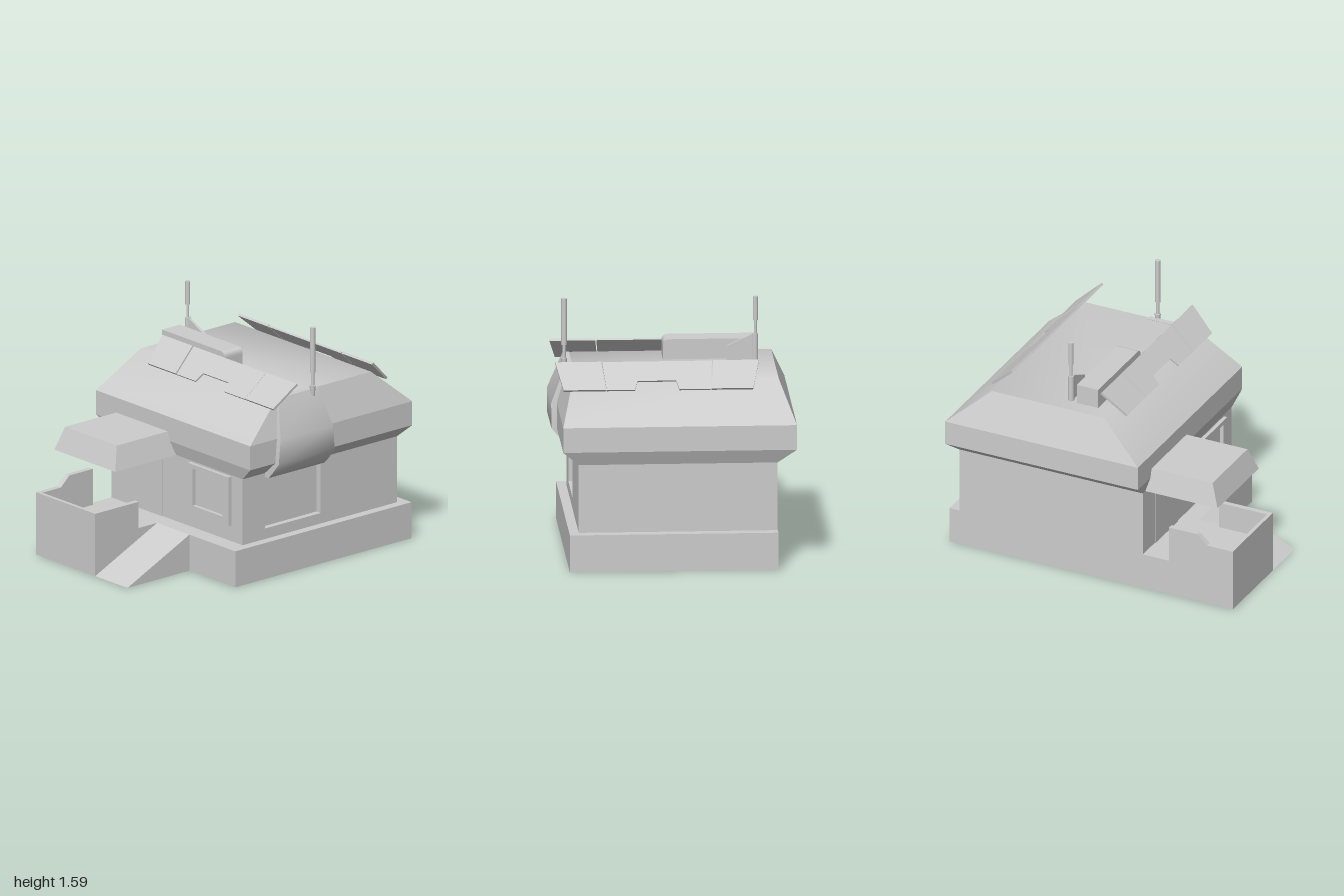
import * as THREE from 'three';
import { toCreasedNormals } from 'three/addons/utils/BufferGeometryUtils.js';

const grey = new THREE.MeshStandardMaterial({ color: 0xcccccc, side: THREE.DoubleSide });
grey.name = 'light grey';

function add(parent, name, geometry, x = 0, y = 0, z = 0) {
  const mesh = new THREE.Mesh(geometry, grey);
  mesh.name = name;
  mesh.position.set(x, y, z);
  parent.add(mesh);
  return mesh;
}

// Box given by its limits on each axis
function box(parent, name, x0, x1, y0, y1, z0, z1) {
  return add(parent, name, new THREE.BoxGeometry(x1 - x0, y1 - y0, z1 - z0),
    (x0 + x1) / 2, (y0 + y1) / 2, (z0 + z1) / 2);
}

// Solid through four-cornered levels [y, x0, x1, z0, z1], listed bottom to top
function loft(parent, name, levels, crease = 0) {
  const rings = levels.map(([y, x0, x1, z0, z1, xi0 = x0]) =>
    [[xi0, y, z1], [x1, y, z1], [x1, y, z0], [xi0, y, z0]]);
  const pos = [];
  const quad = (a, b, c, d) => pos.push(...a, ...b, ...c, ...a, ...c, ...d);
  for (let k = 0; k < rings.length - 1; k++) {
    for (let i = 0; i < 4; i++) {
      const j = (i + 1) % 4;
      quad(rings[k][i], rings[k][j], rings[k + 1][j], rings[k + 1][i]);
    }
  }
  const first = rings[0];
  quad(first[3], first[2], first[1], first[0]);
  quad(...rings[rings.length - 1]);
  let g = new THREE.BufferGeometry();
  g.setAttribute('position', new THREE.Float32BufferAttribute(pos, 3));
  g.computeVertexNormals();
  if (crease) g = toCreasedNormals(g, crease);
  return add(parent, name, g);
}

function polygon(points) {
  return new THREE.Shape(points.map(([x, y]) => new THREE.Vector2(x, y)));
}

function extrude(shape, depth) {
  return new THREE.ExtrudeGeometry(shape, { depth, bevelEnabled: false, curveSegments: 8 });
}

function rectangle(x0, x1, y0, y1) {
  return polygon([[x0, y0], [x1, y0], [x1, y1], [x0, y1]]);
}

// Plate drawn in (z, y) and given a thickness from x0 to x1
function sidePlate(parent, name, shape, x0, x1) {
  const g = extrude(shape, x1 - x0);
  g.rotateY(-Math.PI / 2); // (z, y, depth) -> (-depth, y, z)
  return add(parent, name, g, x1, 0, 0);
}

// Row of three roof panels, centred on x = 0, rising away from its lower edge
function panelRow() {
  const row = new THREE.Group();
  row.name = 'solarPanelRow';
  const h = 0.216;
  const middle = polygon([[-0.328, 0], [-0.148, 0], [-0.13, 0.067], [0.115, 0.067],
    [0.133, 0], [0.328, 0], [0.348, h], [-0.348, h]]);
  add(row, 'middlePanel', extrude(middle, 0.012));
  for (const s of [-1, 1]) {
    const outer = polygon([[s * 0.334, 0], [s * 0.6, 0], [s * 0.645, h], [s * 0.355, h]]);
    add(row, 'outerPanel', extrude(outer, 0.016));
  }
  row.rotation.x = -0.835;
  return row;
}

export function createModel() {
  const model = new THREE.Group();
  model.name = 'house';

  // Hollow foundation, open underneath
  const base = new THREE.Group();
  base.name = 'foundation';
  model.add(base);
  const t = 0.01;
  box(base, 'backWall', -0.64, 0.68, 0, 0.24, -1, -1 + t);
  box(base, 'leftWall', 0.68 - t, 0.68, 0, 0.24, -1, 0.48);
  box(base, 'rightWall', -0.64, -0.64 + t, 0, 0.24, -1, 1);
  box(base, 'frontWall', 0.24, 0.68, 0, 0.24, 0.48 - t, 0.48);
  box(base, 'porchFrontWall', -0.64, -0.07, 0, 0.24, 1 - t, 1);
  box(base, 'porchSideWall', -0.07 - t, -0.07, 0, 0.24, 0.48, 1);
  box(base, 'floor', -0.64, 0.68, 0.23, 0.24, -1, 0.48);
  box(base, 'porchFloor', -0.64, -0.07, 0.23, 0.24, 0.48, 1);

  // Entrance ramp with a closed side
  sidePlate(model, 'ramp', polygon([[0.48, 0.24], [0.48, 0.23], [0.98, 0], [1, 0]]), -0.07, 0.24);
  sidePlate(model, 'rampSide', polygon([[0.48, 0], [1, 0], [0.48, 0.24]]), 0.23, 0.24);

  // Porch railings
  box(model, 'porchFrontRail', -0.64, -0.07, 0.24, 0.415, 0.975, 1);
  box(model, 'porchInnerRail', -0.105, -0.07, 0.24, 0.415, 0.635, 1);
  sidePlate(model, 'porchOuterRail', polygon([[1, 0.24], [1, 0.415], [0.82, 0.415],
    [0.75, 0.48], [0.55, 0.48], [0.55, 0.24]]), -0.64, -0.605);

  // House walls, with a recessed bay in the left wall
  box(model, 'walls', -0.64, 0.58, 0.24, 0.75, -0.93, 0.365);
  const sideWall = rectangle(-0.93, 0.365, 0.24, 0.75);
  sideWall.holes.push(rectangle(-0.29, 0.18, 0.31, 0.74));
  sidePlate(model, 'leftWall', sideWall, 0.58, 0.62);

  // Door and framed window
  box(model, 'door', -0.47, -0.15, 0.24, 0.66, 0.365, 0.371);
  const frame = rectangle(0.12, 0.51, 0.345, 0.67);
  frame.holes.push(rectangle(0.168, 0.455, 0.395, 0.642));
  add(model, 'windowFrame', extrude(frame, 0.03), 0, 0, 0.36);

  // Eaves and hipped roof
  loft(model, 'eaves', [
    [0.68, -0.64, 0.62, -0.93, 0.365],
    [0.77, -0.76, 0.72, -0.97, 0.39],
    [0.93, -0.76, 0.72, -0.97, 0.39],
  ]);
  loft(model, 'roof', [
    [0.93, -0.76, 0.72, -0.97, 0.39],
    [1.17, -0.66, 0.645, -0.69, 0.1],
  ], 0.75);

  // Curved hood over the bay
  loft(model, 'bayHood', [
    [0.655, 0.62, 0.655, -0.29, 0.18],
    [0.69, 0.62, 0.69, -0.29, 0.18],
    [0.77, 0.7, 0.755, -0.29, 0.18],
    [0.93, 0.7, 0.755, -0.275, 0.165],
    [1.172, 0.62, 0.66, -0.23, 0.1],
  ], 0.85);

  // Awning above the porch
  loft(model, 'awning', [
    [0.68, -0.605, -0.02, 0.36, 0.875],
    [0.83, -0.565, -0.07, 0.36, 0.82],
  ]);

  // Solar panels on both slopes
  for (const front of [true, false]) {
    const holder = new THREE.Group();
    holder.name = front ? 'frontPanels' : 'backPanels';
    holder.add(panelRow());
    holder.position.set(0.105, 1.118, front ? 0.175 : -0.765);
    holder.rotation.y = front ? 0 : Math.PI;
    model.add(holder);
  }

  // Roof duct with one rounded end
  const duct = new THREE.Shape();
  duct.moveTo(-0.56, 1.15);
  duct.lineTo(0.04, 1.15);
  duct.lineTo(0.04, 1.26);
  duct.quadraticCurveTo(0.04, 1.3, 0, 1.3);
  duct.lineTo(-0.56, 1.3);
  add(model, 'roofDuct', extrude(duct, 0.15), 0, 0, -0.14);

  // Antennas
  const rod = (name, r0, r1, x, y0, y1, z) =>
    add(model, name, new THREE.CylinderGeometry(r1, r0, y1 - y0, 12), x, (y0 + y1) / 2, z);
  rod('rightAntennaFoot', 0.02, 0.02, -0.54, 1.16, 1.345, -0.19);
  rod('rightAntennaRod', 0.009, 0.009, -0.543, 1.34, 1.43, -0.19);
  rod('rightAntennaTip', 0.016, 0.016, -0.543, 1.43, 1.585, -0.19);
  add(model, 'rightAntennaFin', extrude(polygon([[-0.54, 1.16], [-0.36, 1.16], [-0.36, 1.265],
    [-0.52, 1.34], [-0.54, 1.34]]), 0.018), 0, 0, -0.199);
  rod('leftAntennaFoot', 0.014, 0.02, 0.668, 1.13, 1.2, -0.18);
  rod('leftAntennaRod', 0.011, 0.011, 0.668, 1.2, 1.29, -0.18);
  rod('leftAntennaTip', 0.018, 0.018, 0.668, 1.285, 1.585, -0.18);

  return model;
}
